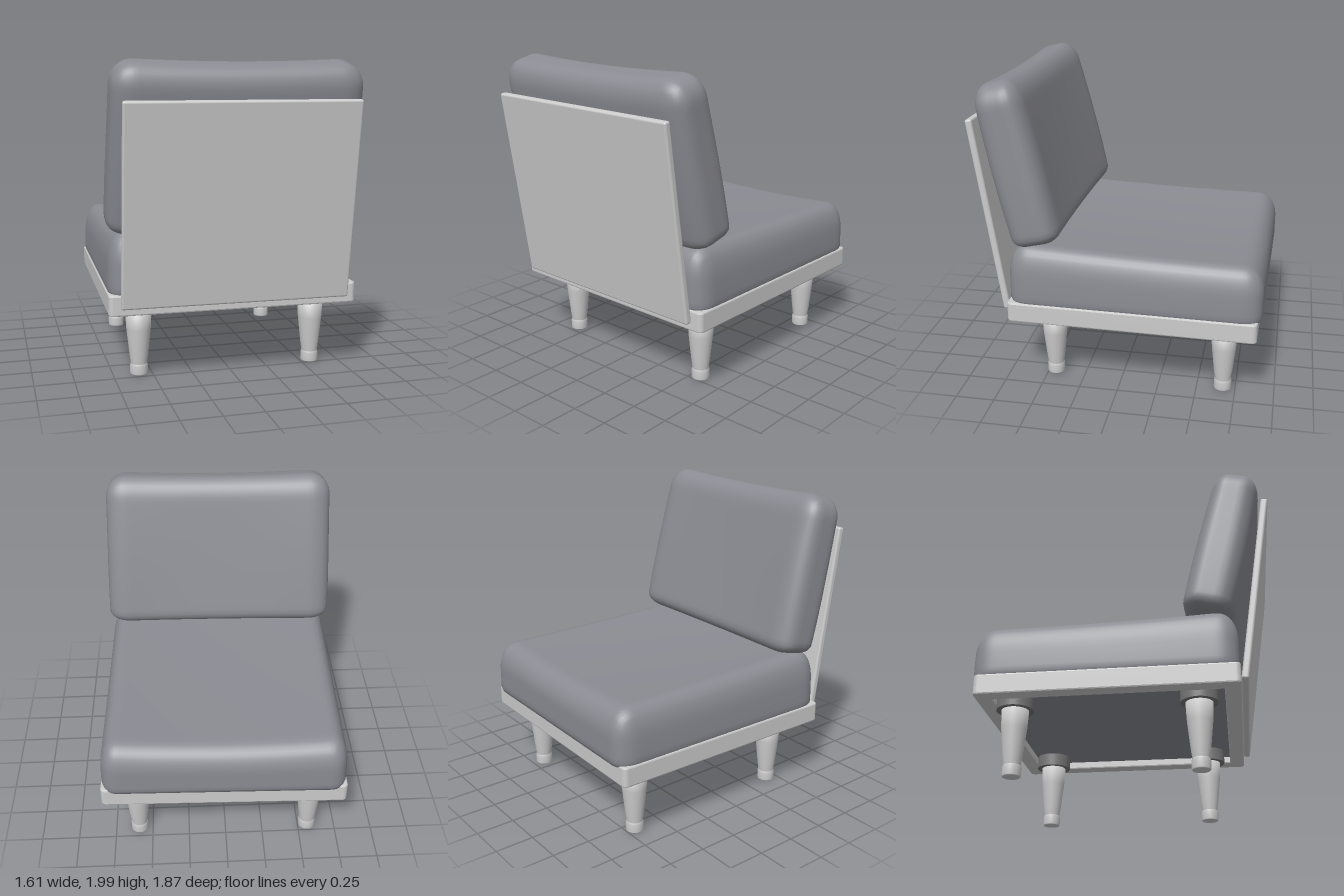
import * as THREE from 'three';
import { mergeVertices } from 'three/addons/utils/BufferGeometryUtils.js';
import { RoundedBoxGeometry } from 'three/addons/geometries/RoundedBoxGeometry.js';

const wood = new THREE.MeshStandardMaterial({ color: 0xcccccc });
const fabric = new THREE.MeshStandardMaterial({ color: 0x8b8c93 });
const dark = new THREE.MeshStandardMaterial({ color: 0x777777 });

function add(parent, name, geometry, material, x = 0, y = 0, z = 0) {
  const mesh = new THREE.Mesh(geometry, material);
  mesh.name = name;
  mesh.position.set(x, y, z);
  parent.add(mesh);
  return mesh;
}

// Dense box with elliptical roundings, then bent by a rule to look stuffed
function cushion(w, h, d, { rx, rz, top, bottom }, bend) {
  const raw = new THREE.BoxGeometry(w, h, d, 48, Math.ceil(h * 30), Math.ceil(d * 30));
  raw.deleteAttribute('normal');
  raw.deleteAttribute('uv');
  const geo = mergeVertices(raw, 1e-4);
  const pos = geo.attributes.position;
  const p = new THREE.Vector3(), c = new THREE.Vector3(), r = new THREE.Vector3();
  const lo = new THREE.Vector3(-w / 2 + rx, -h / 2 + bottom, -d / 2 + rz);
  const hi = new THREE.Vector3(w / 2 - rx, h / 2 - top, d / 2 - rz);
  for (let i = 0; i < pos.count; i++) {
    p.fromBufferAttribute(pos, i);
    c.copy(p).clamp(lo, hi);
    r.set(rx, p.y > 0 ? top : bottom, rz);
    p.sub(c).divide(r).normalize().multiply(r).add(c);
    bend(p);
    pos.setXYZ(i, p.x, p.y, p.z);
  }
  geo.computeVertexNormals();
  return geo;
}

// Rounded rectangle outline
function outline(Type, x0, y0, x1, y1, r) {
  const s = new Type();
  s.absarc(x1 - r, y0 + r, r, -Math.PI / 2, 0);
  s.absarc(x1 - r, y1 - r, r, 0, Math.PI / 2);
  s.absarc(x0 + r, y1 - r, r, Math.PI / 2, Math.PI);
  s.absarc(x0 + r, y0 + r, r, Math.PI, Math.PI * 1.5);
  s.closePath();
  return s;
}

export function createModel() {
  const root = new THREE.Group();
  root.name = 'loungeChair';
  const chair = new THREE.Group();
  chair.name = 'chair';
  chair.rotation.y = -0.02; // stands slightly turned
  root.add(chair);

  // Base frame: open ring of rails with a recessed panel
  const ring = outline(THREE.Shape, -0.78, -0.685, 0.78, 0.885, 0.02);
  ring.holes.push(outline(THREE.Path, -0.7, -0.605, 0.7, 0.805, 0.01));
  const frameGeo = new THREE.ExtrudeGeometry(ring, {
    depth: 0.11, bevelThickness: 0.01, bevelSize: 0.01, bevelSegments: 2, curveSegments: 4,
  });
  frameGeo.rotateX(-Math.PI / 2);
  add(chair, 'baseFrame', frameGeo, wood, 0, 0.46, 0);
  add(chair, 'basePanel', new THREE.BoxGeometry(1.42, 0.06, 1.43), fabric, 0, 0.53, -0.1);

  // Seat cushion: higher towards the back, dipping in the middle
  const seatGeo = cushion(1.57, 0.385, 1.61, { rx: 0.1, rz: 0.13, top: 0.17, bottom: 0.06 }, (p) => {
    const up = THREE.MathUtils.smoothstep(p.y, -0.1, 0.19);
    const z = p.z - 0.114;
    const across = 1 - (p.x / 0.785) ** 2;
    p.y += up * (0.01 + 0.04 * ((z + 0.9) / 1.6) ** 2 - 0.03 * across);
    p.x *= 1 - 0.015 * up;
  });
  add(chair, 'seatCushion', seatGeo, fabric, 0, 0.7225, -0.114);

  // Back cushion: leaning, thickest in the middle, hollow front, sagging top
  const backGeo = cushion(1.57, 1.06, 0.31, { rx: 0.15, rz: 0.1, top: 0.15, bottom: 0.08 }, (p) => {
    const t = p.y / 0.53;
    const across = Math.max(0, 1 - (p.x / 0.785) ** 2);
    const along = Math.max(0, 1 - t * t);
    p.z *= 1 + 0.1 * along - 0.05 * t;
    if (p.z < 0) p.z += 0.035 * across * (0.5 + 0.5 * along) * Math.min(1, -p.z / 0.1);
    p.x *= 1 - 0.022 * THREE.MathUtils.smoothstep(t, -0.8, 1);
    if (t > 0) p.y -= 0.022 * across * t;
  });
  add(chair, 'backCushion', backGeo, fabric, 0, 1.465, 0.622).rotation.x = 0.235;

  // Thin leaning back panel
  add(chair, 'backPanel', new RoundedBoxGeometry(1.44, 1.26, 0.045, 3, 0.014), wood, 0, 1.125, 0.808).rotation.x = 0.147;

  // Tapered legs with dark collars and small feet
  const profile = [
    [0, 0], [0.052, 0], [0.057, 0.006], [0.057, 0.06], [0.052, 0.068],
    [0.052, 0.072], [0.06, 0.13], [0.078, 0.3], [0.084, 0.42], [0, 0.42],
  ].map(([x, y]) => new THREE.Vector2(x, y));
  const legGeo = new THREE.LatheGeometry(profile, 32);
  const collarGeo = new THREE.CylinderGeometry(0.115, 0.115, 0.09, 32);
  for (const x of [-0.575, 0.575]) {
    for (const z of [-0.68, 0.44]) {
      const leg = new THREE.Group();
      leg.name = z < 0 ? 'seatSideLeg' : 'backSideLeg';
      leg.position.set(x, 0, z);
      add(leg, 'legPost', legGeo, wood);
      add(leg, 'legCollar', collarGeo, dark, 0, 0.462, 0);
      chair.add(leg);
    }
  }
  return root;
}
